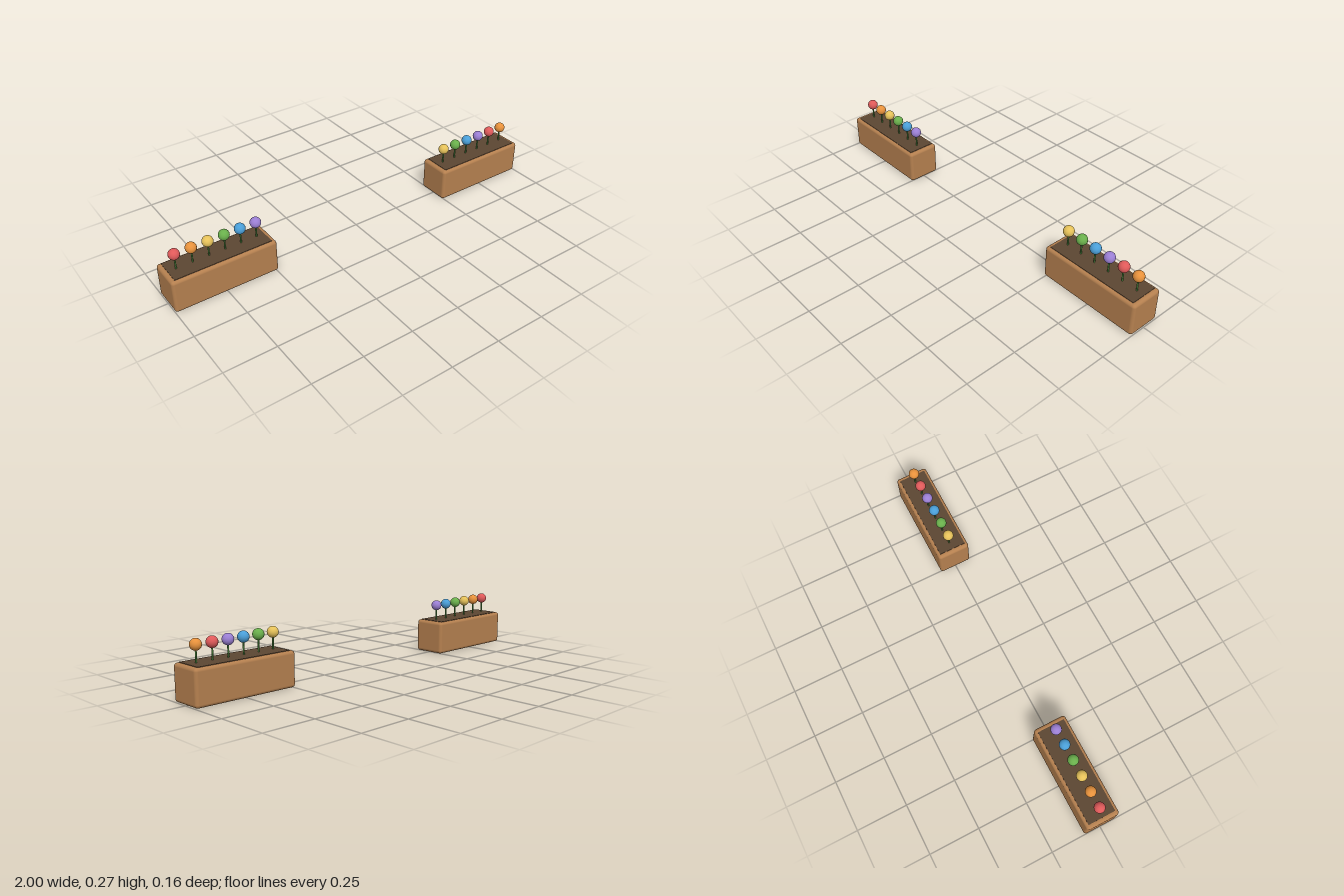
import * as THREE from 'three';
import { RoundedBoxGeometry } from 'three/addons/geometries/RoundedBoxGeometry.js';

const mat = (color) => new THREE.MeshStandardMaterial({ color });

// Bloom colours, cycled along the row
const bloomMats = [0xe05a5a, 0xe8923c, 0xe6c25a, 0x6ab04c, 0x4a9fd8, 0x9b7fd4].map(mat);
const woodMat = mat(0xb5804f);
const soilMat = mat(0x5c4632);
const stemMat = mat(0x4f8a3f);

const boxGeo = new RoundedBoxGeometry(0.51, 0.165, 0.164, 4, 0.015);
const soilGeo = new THREE.BoxGeometry(0.47, 0.02, 0.136);
const stemGeo = new THREE.CylinderGeometry(0.004, 0.004, 0.08, 8);
const bloomGeo = new THREE.SphereGeometry(0.026, 20, 14);

function addPart(parent, name, geometry, material, x, y) {
  const mesh = new THREE.Mesh(geometry, material);
  mesh.name = name;
  mesh.position.set(x, y, 0);
  parent.add(mesh);
}

// One planter: box, soil bed and a row of six round flowers
function makePlanter(name, firstColor) {
  const planter = new THREE.Group();
  planter.name = name;
  addPart(planter, 'planterBox', boxGeo, woodMat, 0, 0.0835);
  addPart(planter, 'soil', soilGeo, soilMat, 0, 0.158);
  for (let i = 0; i < 6; i++) {
    const flower = new THREE.Group();
    flower.name = 'flower';
    flower.position.x = (i - 2.5) * 0.0784;
    addPart(flower, 'stem', stemGeo, stemMat, 0, 0.19);
    addPart(flower, 'bloom', bloomGeo, bloomMats[(i + firstColor) % 6], 0, 0.2445);
    planter.add(flower);
  }
  return planter;
}

export function createModel() {
  const model = new THREE.Group();
  model.name = 'flowerPlanters';
  const right = makePlanter('rightPlanter', 0);
  right.position.x = -0.745;
  const left = makePlanter('leftPlanter', 2);
  left.position.x = 0.745;
  model.add(right, left);
  return model;
}
